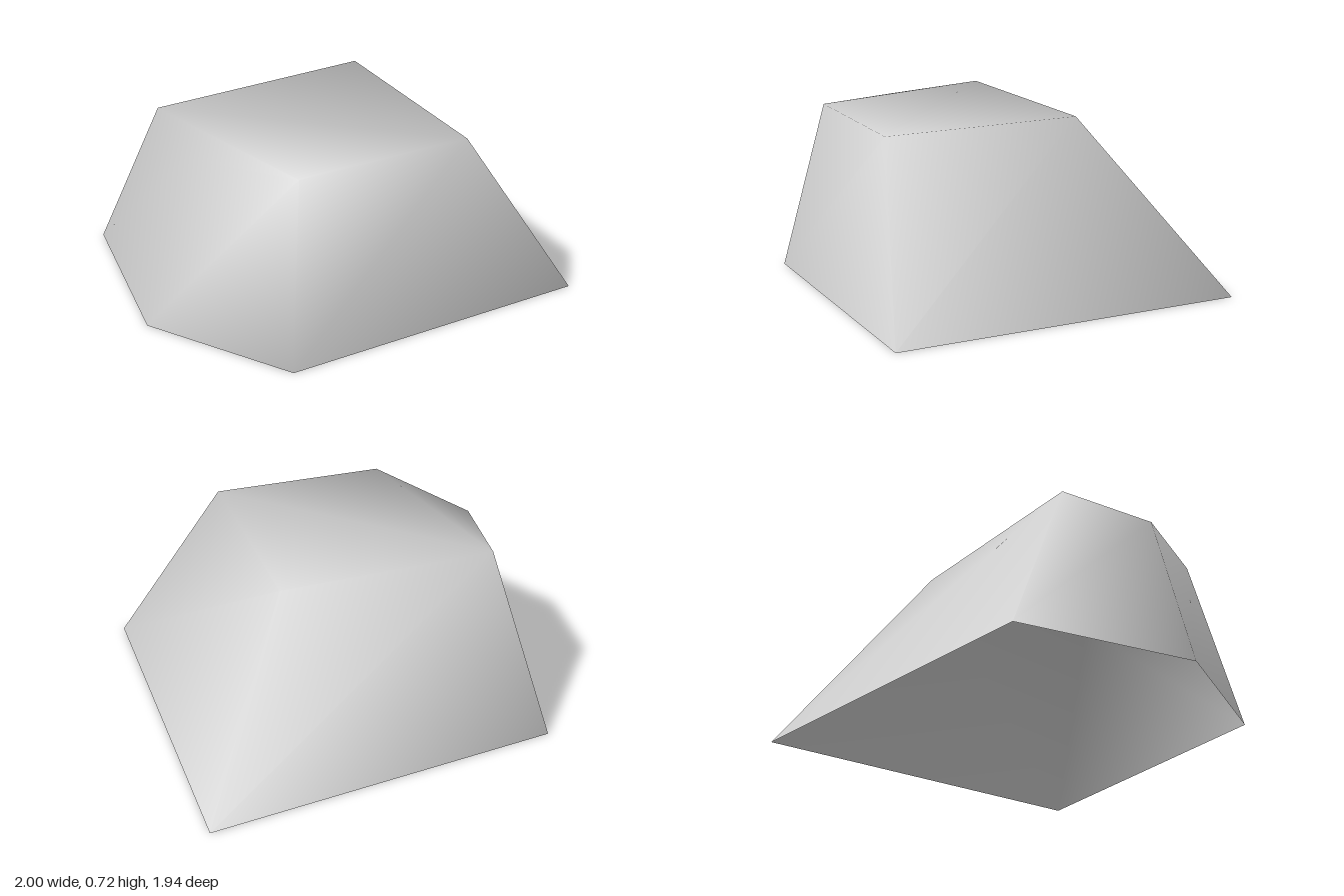
import * as THREE from 'three';

// Matching rings of corners, listed clockwise as seen from above
const BASE = [[-0.11, 0, -0.97], [1, 0, 0.03], [0.14, 0, 0.97], [-0.52, 0, 0.85], [-1, 0, 0.26]];
const CROWN = [[-0.04, 0.72, -0.31], [0.6, 0.72, 0.25], [0.1, 0.72, 0.775], [-0.39, 0.685, 0.69], [-0.645, 0.72, 0.38]];

// Smooth-shaded shell, open underneath
function rockGeometry() {
  const n = BASE.length;
  const index = [];

  // Sloping sides
  for (let i = 0; i < n; i++) {
    const j = (i + 1) % n;
    index.push(j, i, n + i, j, n + i, n + j);
  }

  // Top, fanned from the last corner so the chipped corner gets its own facet
  for (let i = n - 2; i > 0; i--) {
    index.push(2 * n - 1, n + i, n + i - 1);
  }

  const geometry = new THREE.BufferGeometry();
  geometry.setAttribute('position', new THREE.Float32BufferAttribute([...BASE, ...CROWN].flat(), 3));
  geometry.setIndex(index);
  geometry.computeVertexNormals();
  return geometry;
}

export function createModel() {
  const stone = new THREE.MeshStandardMaterial({ color: 0xcccccc, side: THREE.DoubleSide });
  stone.name = 'paleStone';

  const rock = new THREE.Mesh(rockGeometry(), stone);
  rock.name = 'rock';

  const group = new THREE.Group();
  group.name = 'boulder';
  group.add(rock);
  return group;
}
